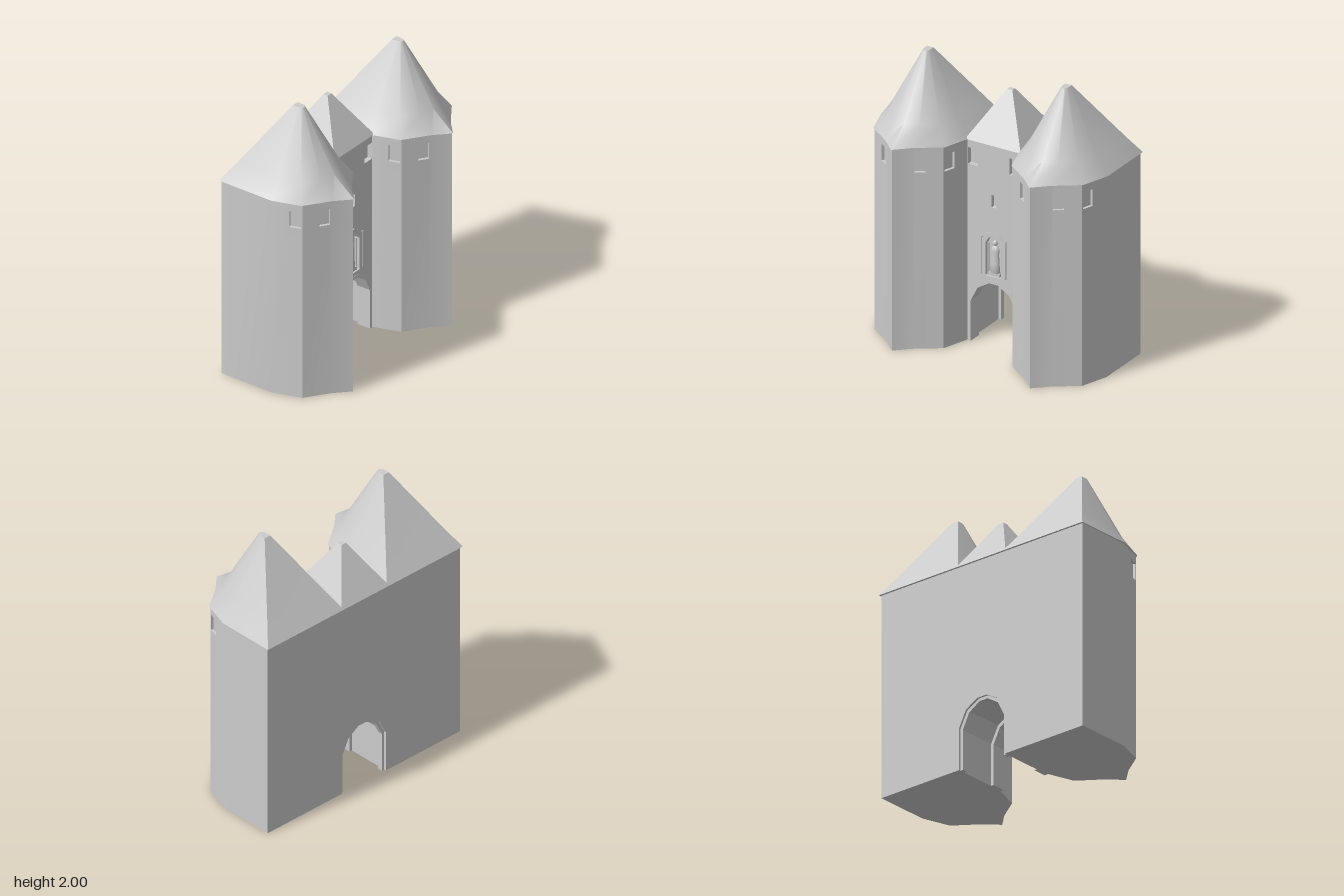
import * as THREE from 'three';
import { mergeGeometries, toCreasedNormals } from 'three/addons/utils/BufferGeometryUtils.js';

const grey = new THREE.MeshStandardMaterial({ color: 0xcccccc });
const inside = new THREE.MeshStandardMaterial({ color: 0xcccccc, side: THREE.BackSide });

const EAVE = 1.45, SILL = 1.27, HEAD = 1.39, BACK = -0.41, FRONT = 0.01;

function add(parent, name, geometry, material = grey) {
  const mesh = new THREE.Mesh(geometry, material);
  mesh.name = name;
  parent.add(mesh);
  return mesh;
}

const shapeOf = (pts) => new THREE.Shape(pts.map(([x, y]) => new THREE.Vector2(x, y)));
const rect = (x0, y0, x1, y1) => [[x0, y0], [x1, y0], [x1, y1], [x0, y1]];
// Complete a right-hand half outline with its mirror image
const mirror = (half) => [...half, ...half.filter((p) => p[0] !== 0).reverse().map(([x, ...r]) => [-x, ...r])];

function slab(outline, holes, z0, z1) {
  const shape = shapeOf(outline);
  shape.holes = holes.map(shapeOf);
  return new THREE.ExtrudeGeometry(shape, { depth: z1 - z0, bevelEnabled: false }).translate(0, 0, z0);
}

// Closed solid through horizontal rings of equal point count: { y, pts: [[x, z], ...] }
function loft(rings, crease) {
  const n = rings[0].pts.length, pos = [], idx = [];
  rings.forEach(({ y, pts }) => pts.forEach(([x, z]) => pos.push(x, y, z)));
  for (let r = 0; r < rings.length - 1; r++) {
    for (let i = 0; i < n; i++) {
      const a = r * n + i, b = r * n + (i + 1) % n;
      idx.push(a, a + n, b, b, a + n, b + n);
    }
  }
  [0, rings.length - 1].forEach((r) => {
    const { y, pts } = rings[r], c = pos.length / 3;
    pos.push(0, y, pts.reduce((s, p) => s + p[1], 0) / n);
    for (let i = 0; i < n; i++) {
      const a = r * n + i, b = r * n + (i + 1) % n;
      if (r === 0) idx.push(c, a, b); else idx.push(c, b, a);
    }
  });
  const g = new THREE.BufferGeometry();
  g.setAttribute('position', new THREE.Float32BufferAttribute(pos, 3));
  g.setIndex(idx);
  return toCreasedNormals(g, crease);
}

// Beaked tower, symmetric about its own x = 0
function makeTower() {
  const tower = new THREE.Group();
  const plan = mirror([[0.33, BACK], [0.33, 0], [0.265, 0.2], [0.105, 0.31], [0, 0.41]]);
  // Window span along each wall, as a fraction of its length
  const windows = { 1: [0.57, 0.96], 2: [0.6, 0.97], 5: [0.03, 0.4], 6: [0.04, 0.43] };
  const panels = [];
  plan.forEach((p, i) => {
    const q = plan[(i + 1) % plan.length];
    const u = new THREE.Vector3(p[0] - q[0], 0, p[1] - q[1]);
    const len = u.length();
    u.normalize();
    const up = new THREE.Vector3(0, 1, 0);
    const m = new THREE.Matrix4().makeBasis(u, up, u.clone().cross(up)).setPosition(q[0], 0, q[1]);
    const shape = shapeOf(rect(0, 0, len, EAVE));
    if (windows[i]) {
      const [t0, t1] = windows[i];
      const x0 = (1 - t1) * len, x1 = (1 - t0) * len;
      shape.holes.push(shapeOf(rect(x0, SILL, x1, HEAD)));
      const box = new THREE.BoxGeometry(x1 - x0, HEAD - SILL, 0.02)
        .translate((x0 + x1) / 2, (SILL + HEAD) / 2, -0.01).applyMatrix4(m);
      add(tower, 'windowRecess', box, inside);
    }
    panels.push(new THREE.ShapeGeometry(shape).applyMatrix4(m));
  });
  panels.push(new THREE.ShapeGeometry(shapeOf(plan)).rotateX(Math.PI / 2));
  add(tower, 'towerWalls', toCreasedNormals(mergeGeometries(panels), 0.35));

  // Flared roof: beaked eave, rounder shoulder, small flat tip
  add(tower, 'towerRoof', loft([
    { y: EAVE, pts: mirror([[0.34, -0.425], [0.34, 0], [0.275, 0.2], [0.105, 0.32], [0, 0.42]]) },
    { y: 1.575, pts: mirror([[0.265, -0.34], [0.252, 0], [0.2, 0.14], [0.1, 0.23], [0, 0.262]]) },
    { y: 2, pts: mirror([[0.025, -0.06], [0.024, -0.02], [0.019, 0], [0.01, 0.01], [0, 0.012]]) },
  ], 0.7));
  return tower;
}

const archHalf = (w, spring, crown) => [[w, 0], [w, spring], [w * 0.7, crown - 0.055], [w * 0.2, crown]];

function makeGate() {
  const gate = new THREE.Group();
  const opening = mirror(archHalf(0.196, 0.3, 0.47));
  const inner = mirror(archHalf(0.175, 0.29, 0.45));
  const wall = [[0.2, 0], [0.2, EAVE], [-0.2, EAVE], [-0.2, 0], ...opening.slice().reverse()];
  const niche = mirror([[0.06, 0.505], [0.06, 0.74], [0.035, 0.78], [0, 0.8]]);

  // Solid wall, then a front skin whose holes become recesses
  add(gate, 'gateWall', slab(wall, [], BACK, -0.025));
  add(gate, 'gateWallFront', slab(wall, [
    rect(-0.018, 1, 0.018, 1.09), niche,
    rect(0.12, SILL, 0.197, HEAD), rect(-0.197, SILL, -0.12, HEAD),
  ], -0.025, FRONT));

  // Stone surrounds of the passage, proud at the front and recessed at the back
  const surround = [...opening, ...inner.slice().reverse()];
  add(gate, 'frontArchSurround', slab(surround, [], -0.09, FRONT + 0.003));
  add(gate, 'backArchSurround', slab(surround, [], BACK + 0.015, BACK + 0.05));

  // Gabled niche frame with side shafts and a finial
  const frame = mirror([[0.085, 0.505], [0.085, 0.77], [0.045, 0.81], [0, 0.835]]);
  add(gate, 'nicheFrame', slab(frame, [niche], 0, FRONT + 0.006));
  for (const s of [-1, 1]) {
    add(gate, 'nicheShaft', new THREE.BoxGeometry(0.01, 0.27, 0.02).translate(s * 0.092, 0.645, 0.008));
    add(gate, 'nicheColumn', new THREE.CylinderGeometry(0.006, 0.006, 0.23, 8).translate(s * 0.052, 0.62, -0.008));
  }
  add(gate, 'nicheFinial', new THREE.ConeGeometry(0.012, 0.035, 4).translate(0, 0.842, 0.005));

  // Standing robed figure on a small plinth
  const figure = new THREE.Group();
  figure.name = 'statue';
  const robe = [[0, 0.53], [0.036, 0.53], [0.03, 0.6], [0.027, 0.66], [0.031, 0.69], [0.022, 0.712], [0.008, 0.72], [0, 0.721]];
  add(figure, 'robe', new THREE.LatheGeometry(robe.map(([x, y]) => new THREE.Vector2(x, y)), 14).scale(1, 1, 0.6));
  add(figure, 'head', new THREE.SphereGeometry(0.016, 12, 8).scale(1, 1.25, 1).translate(0, 0.74, 0));
  add(figure, 'plinth', new THREE.BoxGeometry(0.085, 0.025, 0.03).translate(0, 0.518, 0));
  figure.position.z = -0.01;
  gate.add(figure);

  // Truncated pyramid roof
  const square = (w, z0, z1) => [[w, z0], [w, z1], [-w, z1], [-w, z0]];
  add(gate, 'gateRoof', loft([
    { y: EAVE, pts: square(0.213, -0.425, 0.02) },
    { y: 1.775, pts: square(0.02, -0.22, -0.185) },
  ], 0.3));
  return gate;
}

export function createModel() {
  const model = new THREE.Group();
  model.name = 'gatehouse';
  for (const [name, x] of [['leftTower', 0.53], ['rightTower', -0.53]]) {
    const tower = makeTower();
    tower.name = name;
    tower.position.x = x;
    model.add(tower);
  }
  const gate = makeGate();
  gate.name = 'gate';
  model.add(gate);
  return model;
}
